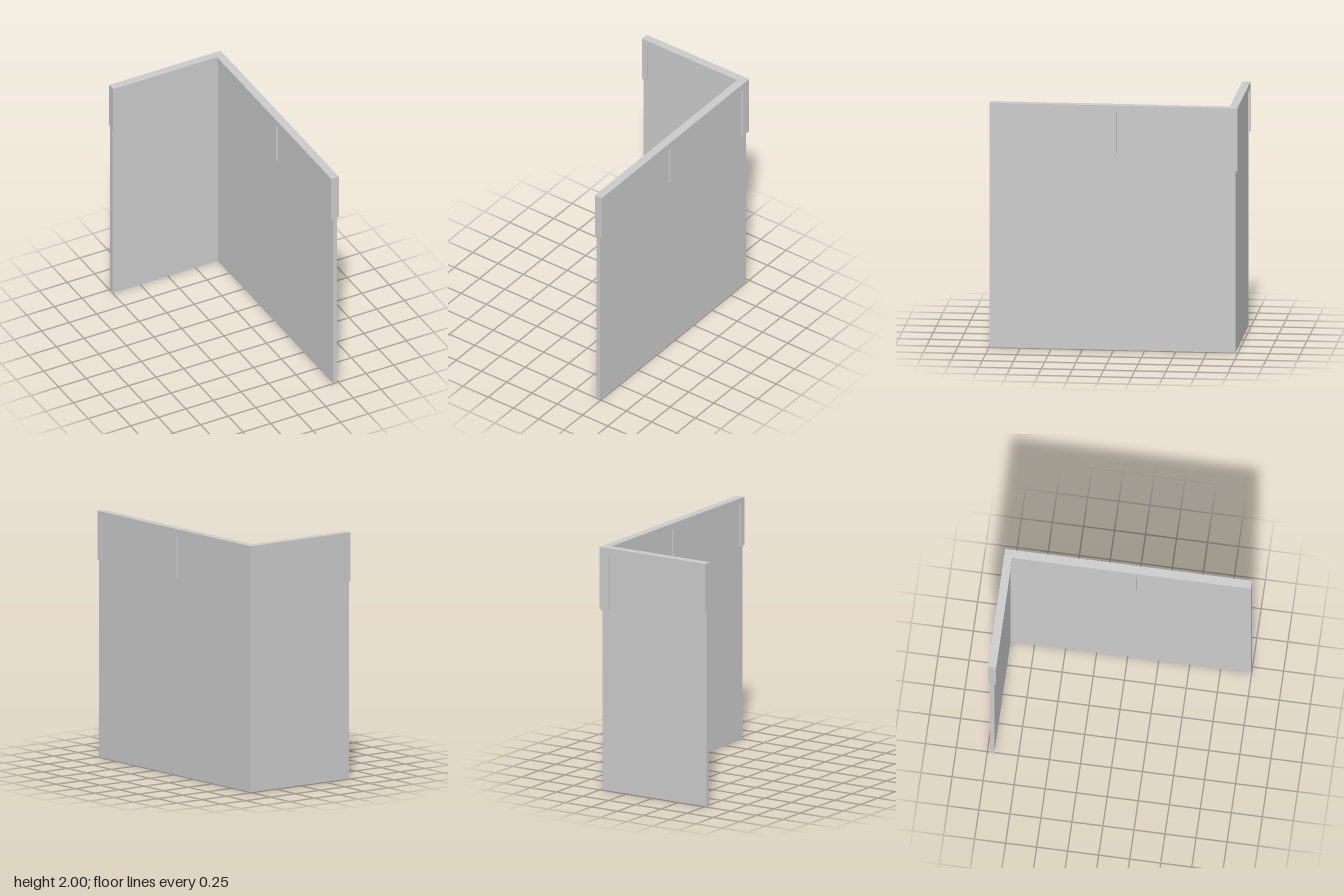
import * as THREE from 'three';

const material = new THREE.MeshStandardMaterial({ color: 0xcccccc, flatShading: true });

// Closed outline extruded along its local z
function extrude(name, points, depth) {
  const shape = new THREE.Shape(points.map(([a, b]) => new THREE.Vector2(a, b)));
  const geometry = new THREE.ExtrudeGeometry(shape, { depth, bevelEnabled: false });
  const mesh = new THREE.Mesh(geometry, material);
  mesh.name = name;
  return mesh;
}

// Plan outline given as [x, z], raised from y0 to y1
function raisePlan(name, plan, y0, y1) {
  const mesh = extrude(name, plan.map(([x, z]) => [x, -z]), y1 - y0);
  mesh.rotation.x = -Math.PI / 2;
  mesh.position.y = y0;
  return mesh;
}

// Top rail with hanging legs; each leg is [start, end]
function railOutline(start, end, legs) {
  const beam = 1.947, foot = 1.603, points = [[end, 2], [start, 2]];
  let last = start;
  for (const [a, b] of legs) {
    if (a > last) points.push([last, beam], [a, beam]);
    points.push([a, foot], [b, foot]);
    if (b < end) points.push([b, beam]);
    last = b;
  }
  if (last < end) points.push([end, beam]);
  return points.filter((p, i) => i === 0 || p[0] !== points[i - 1][0] || p[1] !== points[i - 1][1]);
}

export function createModel() {
  const group = new THREE.Group();
  const X = 0.505, Z = 0.995;
  const innerX = 0.436, innerZ = -0.928;
  const panelX = [0.452, 0.489], panelZ = [-0.944, -0.978];

  // L-shaped wall panels
  group.add(raisePlan('wallPanels', [
    [-X, panelZ[1]], [panelX[1], panelZ[1]], [panelX[1], Z],
    [panelX[0], Z], [panelX[0], panelZ[0]], [-X, panelZ[0]],
  ], 0, 1.97));

  // Long rail: outline runs along -z, extruded across x
  const sideRail = extrude('sideRail',
    railOutline(-Z, Z, [[-Z, -0.95], [-0.07, 0.027]]), X - innerX);
  sideRail.rotation.y = Math.PI / 2;
  sideRail.position.x = innerX;
  group.add(sideRail);

  // Short rail along the back
  const backRail = extrude('backRail', railOutline(-X, innerX, [[-X, -0.458]]), innerZ + Z);
  backRail.position.z = -Z;
  group.add(backRail);

  // Angle cover wrapping the outer corner
  group.add(raisePlan('cornerCover', [
    [0.42, -Z], [X, -Z], [X, -0.91],
    [panelX[1], -0.91], [panelX[1], panelZ[1]], [0.42, panelZ[1]],
  ], 1.483, 1.96));

  return group;
}
